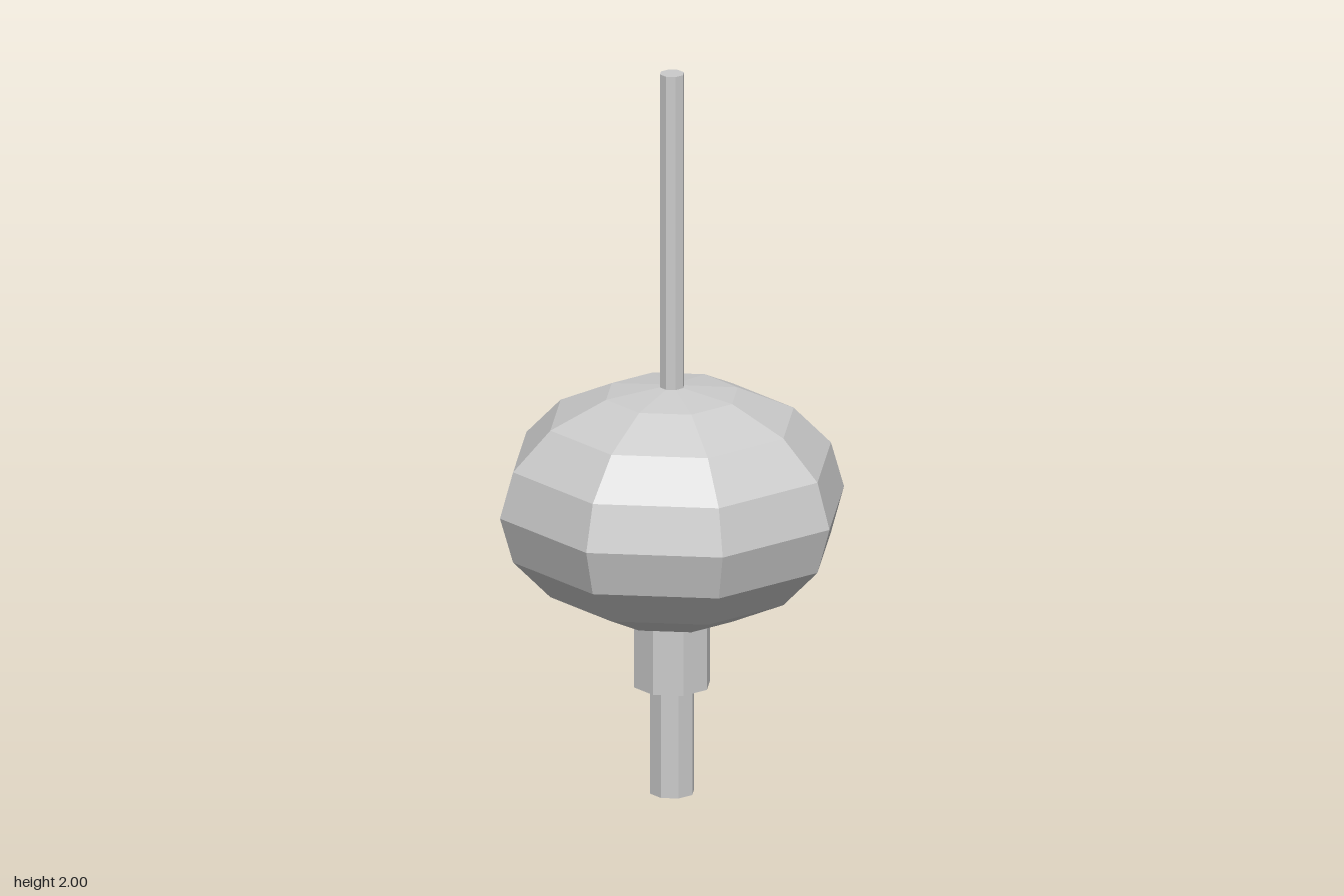
import * as THREE from 'three';

const SIDES = 8;
const material = new THREE.MeshStandardMaterial({ color: 0xcccccc, flatShading: true });

// Upright octagonal rod between two heights
function rod(name, radius, bottom, top) {
  const mesh = new THREE.Mesh(
    new THREE.CylinderGeometry(radius, radius, top - bottom, SIDES), material);
  mesh.name = name;
  mesh.position.y = (bottom + top) / 2;
  return mesh;
}

export function createModel() {
  const model = new THREE.Group();
  model.name = 'float';

  // Faceted, slightly flattened bulb
  const bulb = new THREE.SphereGeometry(0.473, SIDES, 8);
  bulb.scale(1, 0.328 / 0.473, 1);
  const body = new THREE.Mesh(bulb, material);
  body.name = 'body';
  body.position.y = 0.805;
  model.add(body);

  // Thin antenna above, collar and stem below
  model.add(
    rod('antenna', 0.033, 1.1, 2),
    rod('collar', 0.105, 0.3, 0.51),
    rod('stem', 0.061, 0, 0.31),
  );
  return model;
}
